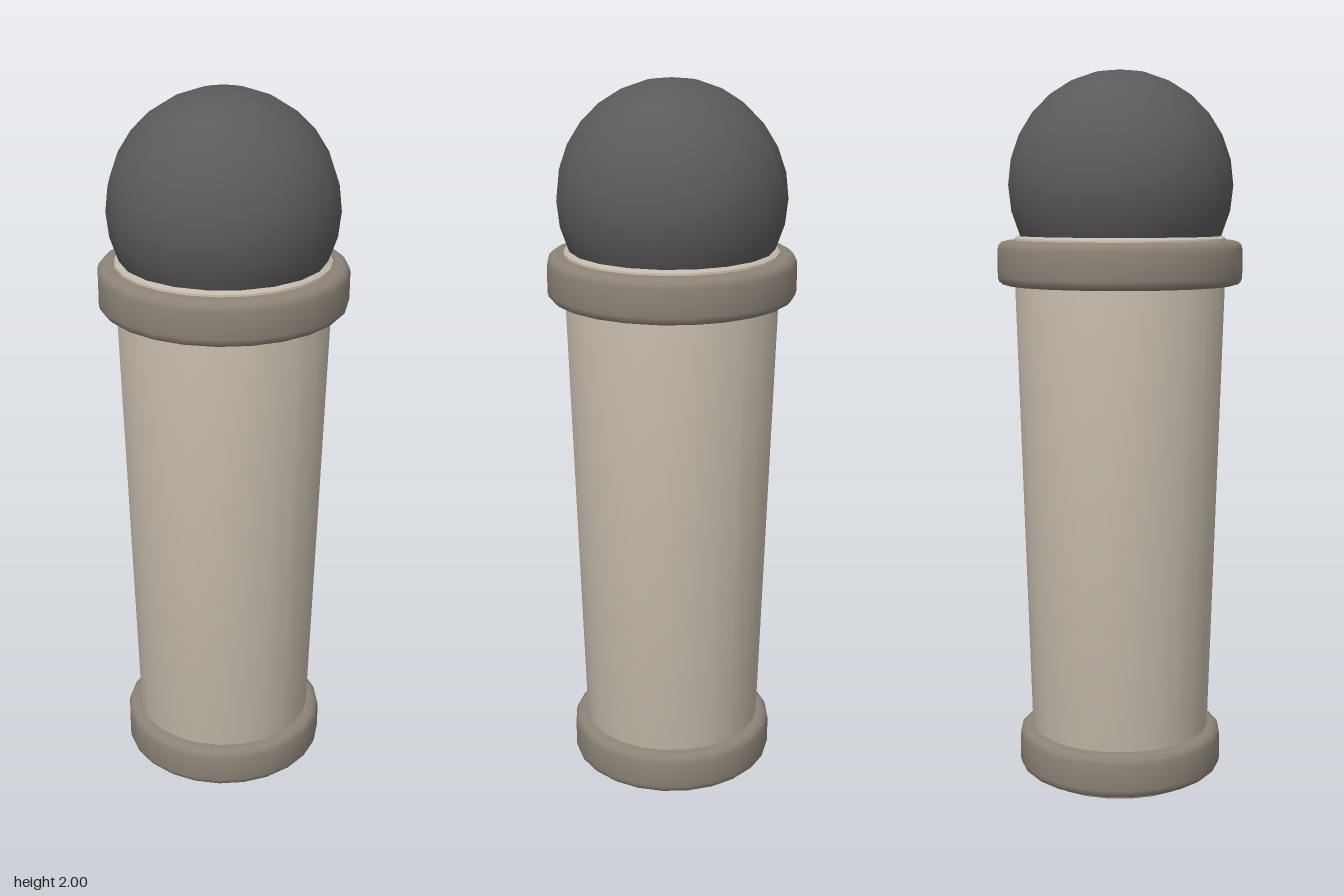
import * as THREE from 'three';
import { toCreasedNormals } from 'three/addons/utils/BufferGeometryUtils.js';

const mat = (color) => new THREE.MeshStandardMaterial({ color });

// Smooth turned part from [radius, height] points, sharp edges kept
function turned(name, points, material) {
  const profile = points.map(([r, y]) => new THREE.Vector2(r, y));
  const geometry = toCreasedNormals(new THREE.LatheGeometry(profile, 24), 0.7);
  const mesh = new THREE.Mesh(geometry, material);
  mesh.name = name;
  return mesh;
}

// Closed ring with rounded outer edges
function band(name, inner, outer, y0, y1, material) {
  const r = 0.024, points = [[inner, y0]];
  for (const [cy, start] of [[y0 + r, -90], [y1 - r, 0]]) {
    for (let i = 0; i <= 3; i++) {
      const a = THREE.MathUtils.degToRad(start + i * 30);
      points.push([outer - r + r * Math.cos(a), cy + r * Math.sin(a)]);
    }
  }
  points.push([inner, y1], [inner, y0]);
  return turned(name, points, material);
}

export function createModel() {
  const group = new THREE.Group();
  const handleMat = mat(0xc4b9ab), bandMat = mat(0x8c8378), headMat = mat(0x5a5a5c);

  // Tapered handle with a softened foot and a closed top
  group.add(turned('handle', [
    [0, 0], [0.225, 0], [0.238, 0.004], [0.247, 0.013], [0.25, 0.027],
    [0.296, 1.535], [0.294, 1.544], [0.286, 1.55], [0, 1.55],
  ], handleMat));

  // Bands at foot and collar
  group.add(band('footBand', 0.235, 0.29, 0.022, 0.145, bandMat));
  group.add(band('collarBand', 0.28, 0.34, 1.415, 1.538, bandMat));

  // Ball head
  const head = new THREE.Mesh(new THREE.SphereGeometry(0.312, 20, 14), headMat);
  head.name = 'ballHead';
  head.position.y = 1.688;
  group.add(head);

  return group;
}
